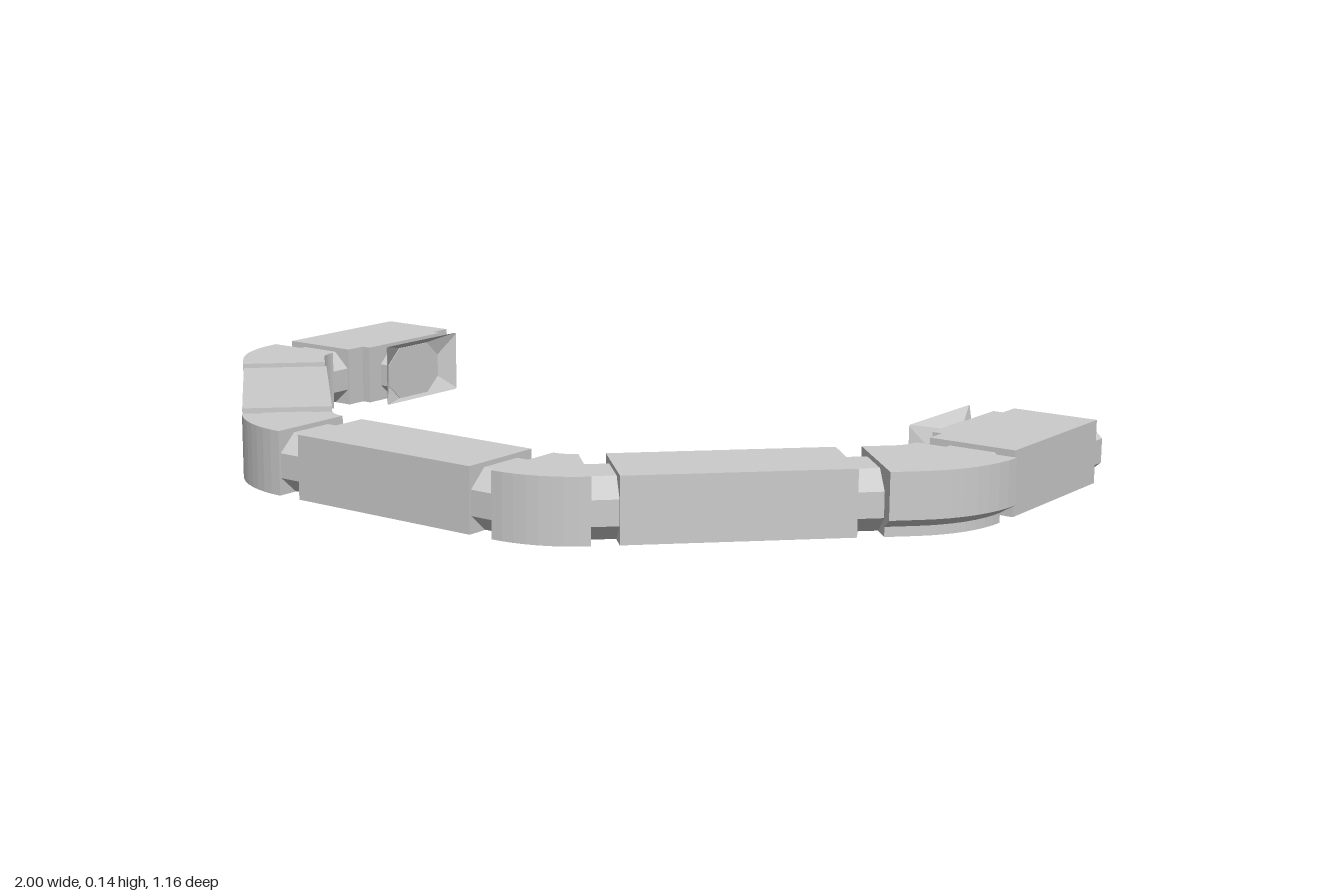
import * as THREE from 'three';

const grey = new THREE.MeshStandardMaterial({ color: 0xcccccc, flatShading: true });
const thin = new THREE.MeshStandardMaterial({ color: 0xcccccc, flatShading: true, side: THREE.DoubleSide });

const X0 = -0.018, HALF = 0.095, TOP = 0.135, GAP = 0.027, D = Math.SQRT1_2;

// Cross-sections as [outward offset, height], counter-clockwise
const BOX = [[-HALF, 0], [HALF, 0], [HALF, TOP], [-HALF, TOP]];
const BULGED = [[-HALF, 0], [HALF, 0], [HALF, 0.02], [0.127, 0.04], [0.127, TOP], [-HALF, TOP]];
const PAD = [[-0.13, 0], [0.13, 0], [0.13, TOP], [-0.13, TOP]];
const OCT = [[0.05, 0.001], [0.09, 0.036], [0.09, 0.088], [0.05, 0.125],
  [-0.05, 0.125], [-0.09, 0.088], [-0.09, 0.036], [-0.05, 0.001]];
const FLANGE = [[0.125, 0], [0.128, 0.003], [0.128, 0.139], [0.125, 0.142],
  [-0.125, 0.142], [-0.128, 0.139], [-0.128, 0.003], [-0.125, 0]];

// Heading of the plan path after turning by angle a
const station = (x, z, a, section) => ({ x, z, a, section });

// Loft cross-sections along stations; side -1 mirrors the part
function sweep(name, section, stations, side = 1, open = false) {
  const pos = [], idx = [], n = section.length, last = (stations.length - 1) * n;
  for (const s of stations) {
    for (const [o, y] of s.section || section) {
      pos.push(X0 + side * (s.x + Math.sin(s.a) * o), y, s.z + Math.cos(s.a) * o);
    }
  }
  const tri = (a, b, c) => (side > 0 ? idx.push(a, b, c) : idx.push(a, c, b));
  for (let k = 0; k < last; k += n) {
    for (let i = 0; i < n; i++) {
      const j = (i + 1) % n;
      tri(k + i, k + n + i, k + j);
      tri(k + j, k + n + i, k + n + j);
    }
  }
  if (!open) {
    for (let i = 1; i < n - 1; i++) {
      tri(0, i, i + 1);
      tri(last, last + i + 1, last + i);
    }
  }
  const indexed = new THREE.BufferGeometry();
  indexed.setAttribute('position', new THREE.Float32BufferAttribute(pos, 3));
  indexed.setIndex(idx);
  const geo = indexed.toNonIndexed();
  geo.computeVertexNormals();
  const mesh = new THREE.Mesh(geo, open ? thin : grey);
  mesh.name = name;
  return mesh;
}

// Straight run from (x, z) along heading a, between distances d0 and d1
function run(name, section, x, z, a, d0, d1, side) {
  const at = (d) => station(x + Math.cos(a) * d, z - Math.sin(a) * d, a);
  return sweep(name, section, [at(d0), at(d1)], side);
}

// 45 degree bend around a corner, with straight lengths before and after it
function bend(name, section, cx, cz, a, before, after, radius, side) {
  const t = radius * Math.tan(Math.PI / 8), end = a + Math.PI / 4, list = [];
  const along = (ang, d) => station(cx + Math.cos(ang) * d, cz - Math.sin(ang) * d, ang);
  if (before - GAP > t + 0.002) list.push(along(a, GAP - before));
  const p = along(a, -t);
  const ox = p.x - Math.sin(a) * radius, oz = p.z - Math.cos(a) * radius;
  for (let i = 0; i <= 8; i++) {
    const ang = a + (Math.PI / 4) * (i / 8);
    list.push(station(ox + Math.sin(ang) * radius, oz + Math.cos(ang) * radius, ang));
  }
  if (after - GAP > t + 0.002) list.push(along(end, after - GAP));
  return sweep(name, section, list, side);
}

export function createModel() {
  const model = new THREE.Group();
  model.name = 'modularCorridor';

  // Front straight corridor
  model.add(run('frontCorridor', BOX, 0, 0.48, 0, -0.226, 0.226, 1));

  for (const side of [1, -1]) {
    const arm = new THREE.Group();
    arm.name = side > 0 ? 'leftArm' : 'rightArm';
    const diag = Math.PI / 4, back = Math.PI / 2;
    const a = [0.253, 0.48], b = [0.4135, 0.4135], c = [0.775, 0.055], e = [0.889, -0.157];
    const length = (c[0] - b[0]) / D;

    // Corridor pieces
    arm.add(
      bend('frontElbow', BOX, 0.347, 0.48, 0, 0.094, 0.094, 0.161, side),
      run('diagonalCorridor', BOX, ...b, diag, GAP, length - GAP, side),
      bend('rearElbow', side > 0 ? BULGED : BOX, 0.889, -0.059, diag, 0.161, 0.098, 0.17, side),
      run('endRoom', BOX, ...e, back, GAP, 0.388, side),
    );

    // Octagonal collars at the joints and at the open end
    [[a, 0], [b, diag], [c, diag], [e, back]].forEach(([p, ang]) =>
      arm.add(run('jointCollar', OCT, ...p, ang, -GAP - 0.004, GAP + 0.004, side)));
    arm.add(run('endCollar', OCT, ...e, back, 0.384, 0.428, side));

    // Docking port on the inner side of the end room
    const port = new THREE.Group();
    port.name = 'dockingPort';
    port.add(
      run('portPad', PAD, 0.8, -0.363, Math.PI, 0, 0.028, side),
      run('portNeck', OCT, 0.775, -0.363, Math.PI, 0, 0.03, side),
      sweep('portFlange', OCT, [
        station(0.747, -0.363, Math.PI, OCT),
        station(0.717, -0.363, Math.PI, FLANGE),
      ], side, true),
    );
    arm.add(port);
    model.add(arm);
  }
  return model;
}
